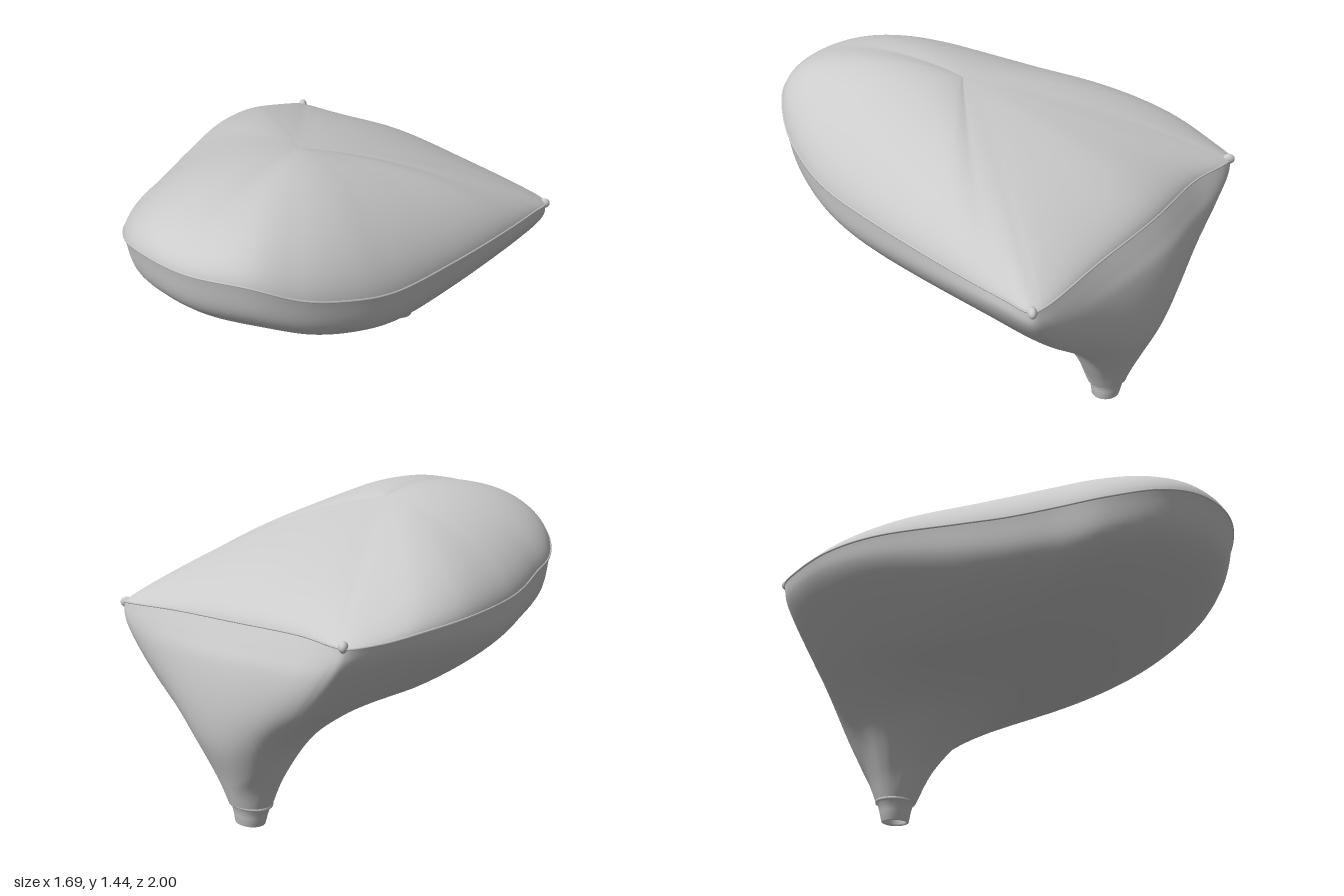
import * as THREE from 'three';

// Seam keys, counter-clockwise from the front: x, y, z, angle at the neck (deg), fullness of the top
const KEYS = [
  [0, 1.235, 1, 90, .16], [.25, 1.225, .94, 78, .17], [.42, 1.14, .8, 68, .21],
  [.55, 1.07, .6, 58, .22], [.63, 1.02, .4, 48, .21], [.72, .98, 0, 30, .18],
  [.79, .95, -.4, 12, .15], [.82, .93, -.65, -8, .09], [.83, .92, -.78, -25, .05],
  [.78, .925, -.81, -38, .06], [.4, .955, -.86, -65, .11], [0, .975, -.91, -90, .14],
  [-.4, .98, -.92, -118, .11], [-.62, .98, -.97, -142, .05], [-.68, .98, -.97, -155, .04],
  [-.76, .99, -.84, -170, .08], [-.82, 1.01, -.65, 175, .12], [-.84, 1.02, -.4, 165, .14],
  [-.78, 1.02, 0, 148, .16], [-.73, 1.03, .2, 139, .17], [-.67, 1.06, .4, 130, .17],
  [-.6, 1.1, .63, 121, .17], [-.45, 1.17, .83, 111, .16], [-.25, 1.22, .95, 101, .16],
];
// Lower panel from seam to neck: inward share, then drop share at front, side, back, and outward bulge
const LOWER = [
  [.03, .167, .07, .1, .042], [.12, .29, .17, .19, .08], [.36, .456, .36, .415, .115],
  [.6, .53, .51, .62, .107], [.78, .635, .65, .83, .045], [.93, .825, .87, .91, .025],
];
const AROUND = 192, ROWS = 48;
const V = (x, y, z) => new THREE.Vector3(x, y, z);

const seam = new THREE.CatmullRomCurve3(KEYS.map(k => V(k[0], k[1], k[2])), true);
// Neck direction (cos, sin) and fullness, interpolated along with the seam
const extras = new THREE.CatmullRomCurve3(KEYS.map(k => {
  const a = THREE.MathUtils.degToRad(k[3]);
  return V(Math.cos(a), Math.sin(a), k[4]);
}), true, 'catmullrom');

const TOP = V(-.02, 1.39, .1);   // middle of the upper panel
const NECK = V(.065, .1, -.758); // centre of the neck opening

// Seam averaged over a short stretch, so the corners fade out away from the edge
function softSeam(u, reach) {
  const sum = V(0, 0, 0);
  for (let k = -6; k <= 6; k++) sum.add(seam.getPoint((u + reach * k / 6 + 1) % 1));
  return sum.divideScalar(13);
}

// Upper panel: swells from the seam and flattens out at the middle
function topPath(u, dirX, dirZ, lift) {
  const s = seam.getPoint(u);
  const p1 = s.clone().lerp(TOP, .04);
  p1.y = s.y + lift;
  const p2 = TOP.clone().lerp(softSeam(u, .08), .5);
  p2.y = TOP.y + .2 * (p2.z - TOP.z) + (.09 * Math.abs(s.x) + .05 * s.x) * Math.max(0, dirZ);
  return new THREE.CubicBezierCurve3(s, p1, p2, TOP);
}

// Lower panel: rounded belly below the seam, then a sweep down into the neck
function lowerPath(u, dirX, dirZ) {
  const s = seam.getPoint(u), soft = softSeam(u, .05);
  const front = THREE.MathUtils.smoothstep(dirZ, -.1, .8), back = Math.max(0, -dirZ) ** 2;
  const side = 1 - front - back;
  const end = V(NECK.x + dirX * .105, NECK.y, NECK.z + dirZ * .09);
  const points = LOWER.map(([inward, dropF, dropS, dropB, bulge]) => {
    const from = s.clone().lerp(soft, Math.min(1, inward * 2));
    const p = from.clone().lerp(end, inward);
    const drop = front * dropF + side * dropS + back * dropB;
    // The underside stays nearly level across the belly
    const level = front * .4 * Math.min(1, inward * 1.5) * (KEYS[0][1] - s.y);
    p.y = from.y + (end.y - from.y) * drop + level * (1 - drop);
    p.x += bulge * side * .5 * Math.max(0, dirX);
    p.z -= bulge * back;
    return p;
  });
  return new THREE.CatmullRomCurve3([s, ...points, end]);
}

// Sweeps one path per seam position into a closed panel
function panel(path, flip) {
  const pos = [], idx = [];
  for (let i = 0; i < AROUND; i++) {
    const u = i / AROUND, e = extras.getPoint(u), len = Math.hypot(e.x, e.y);
    const curve = path(u, e.x / len, e.y / len, e.z);
    for (let j = 0; j <= ROWS; j++) pos.push(...curve.getPoint(j / ROWS).toArray());
  }
  for (let i = 0; i < AROUND; i++) {
    for (let j = 0; j < ROWS; j++) {
      const a = i * (ROWS + 1) + j, b = ((i + 1) % AROUND) * (ROWS + 1) + j;
      if (flip) idx.push(a, b + 1, b, a, a + 1, b + 1);
      else idx.push(a, b, b + 1, a, b + 1, a + 1);
    }
  }
  const g = new THREE.BufferGeometry();
  g.setAttribute('position', new THREE.Float32BufferAttribute(pos, 3));
  g.setIndex(idx);
  g.computeVertexNormals();
  return g;
}

export function createModel() {
  const group = new THREE.Group();
  const material = new THREE.MeshStandardMaterial({ color: 0xcccccc, side: THREE.DoubleSide });
  const add = (name, geometry) => {
    const mesh = new THREE.Mesh(geometry, material);
    mesh.name = name;
    group.add(mesh);
    return mesh;
  };

  add('upperPanel', panel(topPath, false));
  add('lowerPanel', panel(lowerPath, true));

  // Thin welt along the seam
  add('seam', new THREE.TubeGeometry(seam, 240, .005, 6, true));

  // Gathered tips at the two back corners
  for (const [name, x, y, z, turn] of [['leftCorner', .82, .915, -.78, .7], ['rightCorner', -.66, .985, -.965, 2.2]]) {
    const tip = add(name, new THREE.SphereGeometry(.025, 16, 10));
    tip.position.set(x, y, z);
    tip.scale.set(1.2, 1, .8);
    tip.rotation.y = turn;
  }

  // Open collar at the bottom of the neck, slightly tilted
  const profile = [[.06, .1], [.058, .01], [.064, 0], [.073, .004], [.083, .05], [.094, .088], [.106, .094], [.107, .102], [.1, .112]];
  const collar = add('neckCollar', new THREE.LatheGeometry(profile.map(p => new THREE.Vector2(...p)), 48));
  collar.position.set(.07, .005, -.758);
  collar.rotation.z = .07;
  collar.scale.z = .86;
  return group;
}
